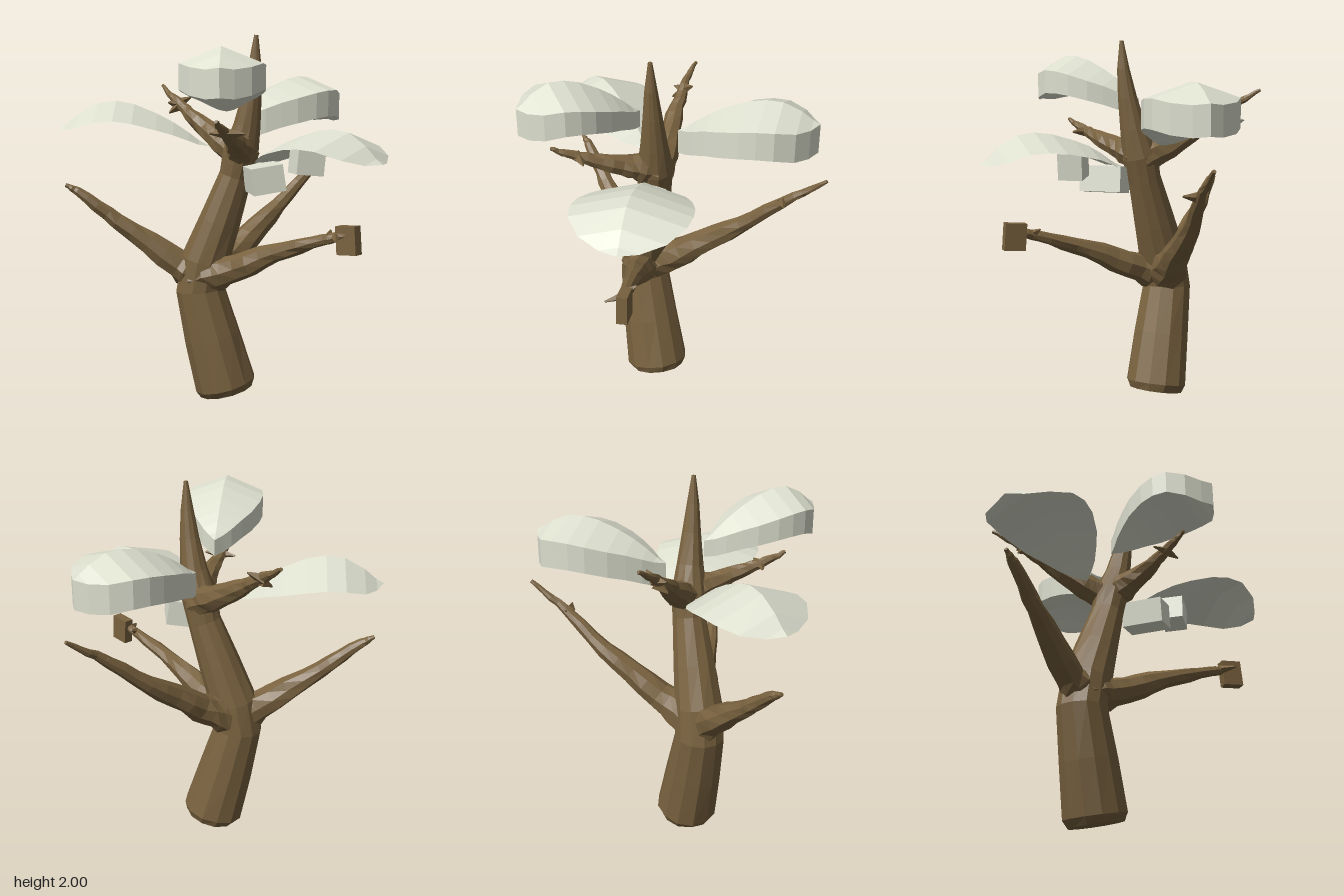
import * as THREE from 'three';

const bark = new THREE.MeshStandardMaterial({ color: 0x79623f, flatShading: true });
bark.name = 'bark brown';
const leafMat = new THREE.MeshStandardMaterial({ color: 0xdcdfce, flatShading: true, side: THREE.DoubleSide });
leafMat.name = 'pale leaf';

// Small repeatable noise for the rough bark
let seed = 7;
const rnd = () => (seed = (seed * 16807) % 2147483647) / 2147483647;

function geometryFrom(pos, idx) {
  const g = new THREE.BufferGeometry();
  g.setAttribute('position', new THREE.Float32BufferAttribute(pos, 3));
  g.setIndex(idx);
  const flat = g.toNonIndexed();
  flat.computeVertexNormals();
  return flat;
}

// Tapered limb through rows of [x, y, z, radius], capped at both ends
function limb(name, rows, sides, rough) {
  const pts = rows.map(r => new THREE.Vector3(r[0], r[1], r[2]));
  const n = pts.length;
  const dir = pts[n - 1].clone().sub(pts[0]).normalize();
  const ref = Math.abs(dir.z) < 0.75 ? new THREE.Vector3(0, 0, 1) : new THREE.Vector3(1, 0, 0);
  const pos = [], idx = [];
  pts.forEach((p, i) => {
    const t = pts[Math.min(i + 1, n - 1)].clone().sub(pts[Math.max(i - 1, 0)]).normalize();
    const u = new THREE.Vector3().crossVectors(ref, t).normalize();
    const v = new THREE.Vector3().crossVectors(t, u);
    for (let k = 0; k < sides; k++) {
      const a = (k / sides) * Math.PI * 2;
      const r = rows[i][3] * (1 + (rnd() - 0.5) * rough);
      const q = p.clone().addScaledVector(u, Math.cos(a) * r).addScaledVector(v, Math.sin(a) * r);
      pos.push(q.x, q.y, q.z);
    }
  });
  for (let i = 0; i < n - 1; i++)
    for (let k = 0; k < sides; k++) {
      const a = i * sides + k, b = i * sides + (k + 1) % sides;
      idx.push(a, b, b + sides, a, b + sides, a + sides);
    }
  for (let k = 1; k < sides - 1; k++) {
    idx.push(0, k + 1, k);
    const e = (n - 1) * sides;
    idx.push(e, e + k, e + k + 1);
  }
  const mesh = new THREE.Mesh(geometryFrom(pos, idx), bark);
  mesh.name = name;
  return mesh;
}

// Branch: subdivides a few rows and wobbles them slightly
function branch(name, rows) {
  const out = [];
  rows.forEach((r, i) => {
    out.push(r);
    if (i === rows.length - 1) return;
    for (let s = 1; s < 4; s++)
      out.push(r.map((c, j) => {
        const m = c + (rows[i + 1][j] - c) * s / 4;
        return j < 3 ? m + (rnd() - 0.5) * 0.008 : m;
      }));
  });
  return limb(name, out, 8, 0.2);
}

// Leaf stations: [position along the length, relative half-width]
const outline = [[0, 0], [0.07, 0.18], [0.14, 0.37], [0.24, 0.58], [0.35, 0.79], [0.5, 0.96], [0.62, 1],
  [0.74, 0.95], [0.87, 0.7], [0.95, 0.32], [1, 0]];

// Leaf folded along its midrib; arch holds evenly spaced midrib heights,
// thick = [at base, at tip] closes the leaf into a slab, plump < 1 widens its base half
function leaf(name, { base, tip, width, arch, drop, thick, plump = 1 }) {
  const dx = tip[0] - base[0], dz = tip[1] - base[1], len = Math.hypot(dx, dz);
  const nx = -dz / len, nz = dx / len, pos = [], idx = [];
  const midrib = new THREE.SplineCurve(arch.map((y, i) => new THREE.Vector2(i, y)));
  const n = outline.length, size = n * 3;
  for (let l = 0; l < (thick ? 2 : 1); l++)
    for (const [t, half] of outline) {
      const w = t < 0.6 ? Math.pow(half, plump) : half;
      const y = midrib.getPoint(t).y - (l ? thick[0] + (thick[1] - thick[0]) * t : 0);
      for (const s of [-1, 0, 1])
        pos.push(base[0] + dx * t + nx * w * width * s, y - Math.abs(s) * w * drop, base[1] + dz * t + nz * w * width * s);
    }
  const quad = (a, b, c, d) => idx.push(a, b, c, a, c, d);
  for (let i = 0; i < n - 1; i++) {
    for (let s = 0; s < 2; s++) {
      const a = i * 3 + s;
      quad(a, a + 1, a + 4, a + 3);
      if (thick) quad(a + size, a + 3 + size, a + 4 + size, a + 1 + size);
    }
    if (thick) {
      const a = i * 3, b = a + 2;
      quad(a, a + 3, a + 3 + size, a + size);
      quad(b, b + size, b + 3 + size, b + 3);
    }
  }
  const mesh = new THREE.Mesh(geometryFrom(pos, idx), leafMat);
  mesh.name = name;
  return mesh;
}

function block(name, mat, size, at, yaw, roll) {
  const mesh = new THREE.Mesh(new THREE.BoxGeometry(...size), mat);
  mesh.position.set(...at);
  mesh.rotation.set(0, yaw, roll);
  mesh.name = name;
  return mesh;
}

export function createModel() {
  seed = 7;
  const tree = new THREE.Group();
  tree.name = 'tree';

  // Leaning trunk, tapering to the top spike
  tree.add(limb('trunk', [
    [-0.03, 0.034, 0.035, 0.15], [-0.04, 0.075, 0.037, 0.173], [-0.107, 0.35, 0.06, 0.157],
    [-0.17, 0.62, 0.08, 0.138], [-0.14, 0.78, 0.08, 0.135], [-0.06, 1.0, 0.07, 0.116],
    [0.03, 1.25, 0.06, 0.092], [0.06, 1.38, 0.065, 0.1], [0.1, 1.53, 0.075, 0.074],
    [0.13, 1.7, 0.09, 0.052], [0.148, 1.85, 0.1, 0.034], [0.156, 2.0, 0.105, 0.011],
  ], 12, 0.05));

  // Branches
  tree.add(branch('rightBranch', [
    [-0.15, 0.67, 0.08, 0.12], [-0.28, 0.755, 0.12, 0.085], [-0.6, 1.0, 0.23, 0.047],
    [-0.8, 1.165, 0.3, 0.026], [-0.86, 1.2, 0.325, 0.01]]));
  tree.add(branch('leftBranch', [
    [-0.16, 0.69, 0.09, 0.12], [0.0, 0.74, 0.14, 0.084], [0.3, 0.87, 0.23, 0.05],
    [0.58, 0.97, 0.32, 0.028], [0.7, 1.0, 0.36, 0.02]]));
  tree.add(branch('backBranch', [
    [-0.14, 0.7, 0.06, 0.12], [-0.02, 0.81, -0.12, 0.08], [0.15, 1.04, -0.4, 0.048],
    [0.32, 1.27, -0.63, 0.024], [0.4, 1.38, -0.77, 0.01]]));
  tree.add(branch('upperBackBranch', [
    [0.06, 1.36, 0.05, 0.09], [-0.07, 1.425, -0.02, 0.07], [-0.3, 1.57, -0.135, 0.04],
    [-0.44, 1.67, -0.22, 0.022], [-0.53, 1.735, -0.3, 0.009]]));
  tree.add(branch('upperFrontBranch', [
    [0.07, 1.38, 0.08, 0.09], [0.09, 1.42, 0.2, 0.065], [0.1, 1.48, 0.4, 0.036],
    [0.1, 1.53, 0.53, 0.022], [0.1, 1.565, 0.61, 0.009]]));

  // Thorny twigs: start, end, radius
  const twigs = [
    [[-0.39, 1.62, -0.19], [-0.43, 1.58, -0.14], 0.035], [[-0.4, 1.63, -0.19], [-0.33, 1.67, -0.23], 0.035],
    [[-0.4, 1.63, -0.19], [-0.44, 1.64, -0.15], 0.032],
    [[0.3, 1.23, -0.57], [0.375, 1.24, -0.55], 0.028], [[0.3, 1.23, -0.57], [0.26, 1.24, -0.6], 0.028],
    [[0.1, 1.5, 0.47], [0.2, 1.5, 0.46], 0.03], [[0.1, 1.5, 0.47], [0.015, 1.5, 0.46], 0.028],
    [[0.64, 0.99, 0.34], [0.66, 0.98, 0.44], 0.025], [[0.6, 0.98, 0.33], [0.6, 1.01, 0.27], 0.025],
  ];
  twigs.forEach(([a, b, r], i) => tree.add(limb('twig' + (i + 1), [[...a, r], [...b, 0.005]], 4, 0.2)));

  // Bark block at the end of the left branch
  tree.add(block('branchEndBlock', bark, [0.115, 0.145, 0.055], [0.707, 0.975, 0.352], -0.4, 0.08));

  // Thick leaves
  tree.add(leaf('frontLeaf', { base: [0, 0.13], tip: [0.17, 0.77], width: 0.214, drop: 0.085, thick: [0.09, 0.14],
    arch: [1.69, 1.79, 1.87, 1.92, 1.915, 1.82] }));
  tree.add(leaf('backLeaf', { base: [0.02, -0.07], tip: [0.37, -0.72], width: 0.24, drop: 0.08, thick: [0.13, 0.155],
    arch: [1.57, 1.67, 1.745, 1.787, 1.775, 1.69] }));

  // Thin leaves
  tree.add(leaf('leftLeaf', { base: [0.17, 0.1], tip: [0.88, 0.41], width: 0.3, drop: 0.085, plump: 0.65,
    arch: [1.33, 1.43, 1.49, 1.522, 1.49, 1.36] }));
  tree.add(leaf('rightLeaf', { base: [-0.12, 0.06], tip: [-0.885, 0.33], width: 0.28, drop: 0.1, plump: 0.9,
    arch: [1.41, 1.52, 1.605, 1.655, 1.625, 1.51] }));

  // Pale blocks under the left leaf
  tree.add(block('innerLeafBlock', leafMat, [0.17, 0.14, 0.23], [0.22, 1.255, 0.175], 0.5, 0.15));
  tree.add(block('outerLeafBlock', leafMat, [0.15, 0.14, 0.13], [0.45, 1.35, 0.17], 0.6, -0.1));
  return tree;
}
